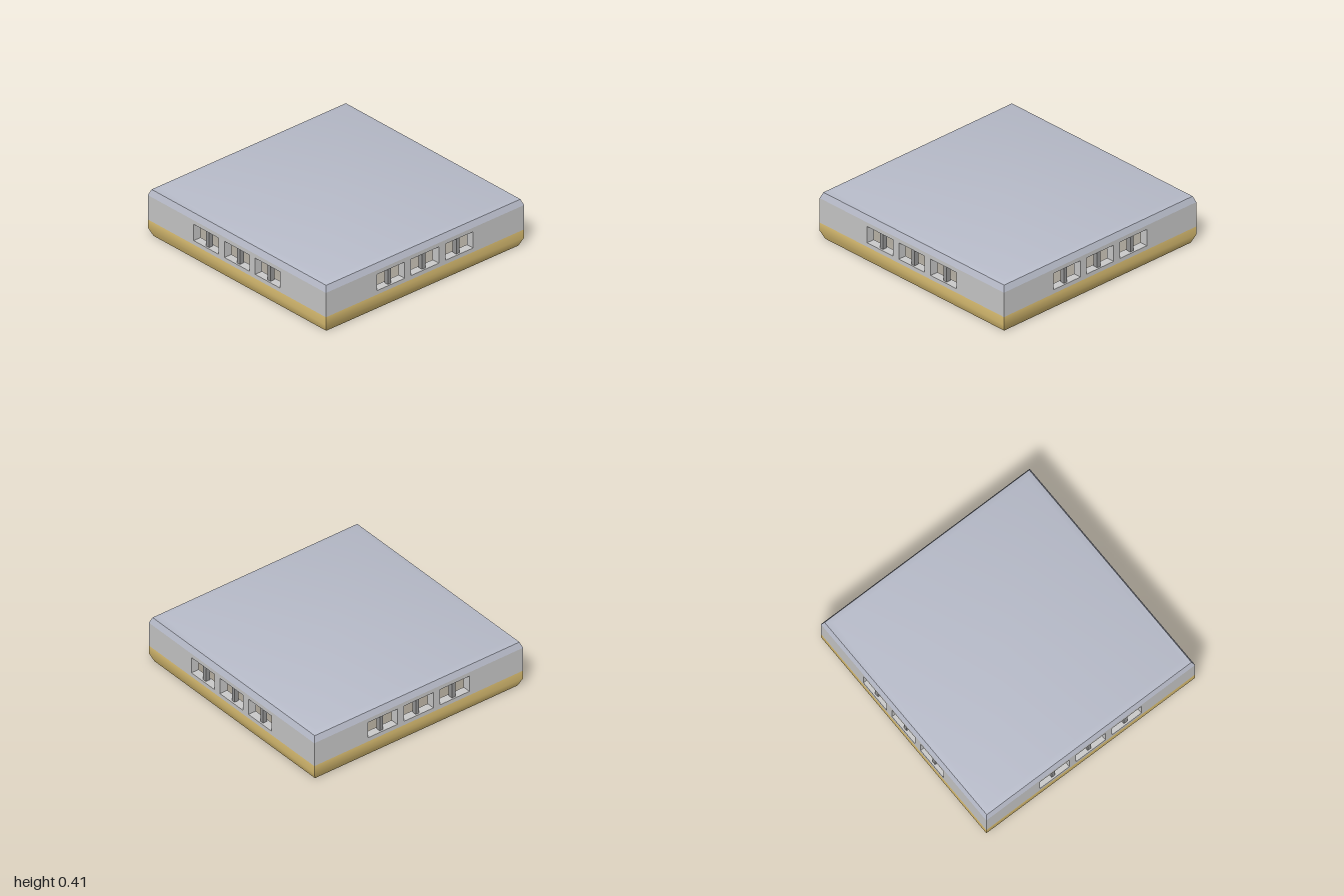
import * as THREE from 'three';
import { toCreasedNormals } from 'three/addons/utils/BufferGeometryUtils.js';

const T = 0.07;          // wall thickness
const SILL = 0.14;       // top of the coloured base
const EAVE = 0.35;       // bottom of the roof
const POST = 0.55;       // post distance from the centre lines

const material = (color) => new THREE.MeshStandardMaterial({ color });

export function createModel() {
  const model = new THREE.Group();
  const grey = material(0xcccccc);
  const slate = material(0xb9bdcb);
  const dark = material(0x999999);
  const sand = material(0xe6c878);

  const add = (parent, name, geometry, mat, x = 0, y = 0, z = 0) => {
    const mesh = new THREE.Mesh(geometry, mat);
    mesh.name = name;
    mesh.position.set(x, y, z);
    parent.add(mesh);
    return mesh;
  };

  // Sweeps a [half width, height] profile around a square plan
  const squareSweep = (profile, crease = 0.85) => {
    const points = profile.map(([r, y]) => new THREE.Vector2(r * Math.SQRT2, y));
    return toCreasedNormals(new THREE.LatheGeometry(points, 4, Math.PI / 4), crease);
  };

  // Base band with its bevelled foot, and the plain lining behind it
  add(model, 'base', squareSweep([[1 - T, 0], [0.97, 0], [1, 0.07], [1, SILL]]), sand);
  add(model, 'baseLining', squareSweep([[1 - T, SILL], [1 - T, 0]]), grey);

  // Roof with bevelled eaves; its underside shows in the middle
  add(model, 'roof', squareSweep([[1, EAVE], [0.98, 0.4], [0.93, 0.415], [0, 0.415]]), slate);
  add(model, 'ceiling', squareSweep([[0, 0.4], [0.54, 0.4]]), slate);
  add(model, 'soffit', squareSweep([[0.54, 0.4], [0.54, 0.34], [0.94, 0.34]]), grey);

  // Wall panel with three window openings
  const wallGeometry = (half) => {
    const shape = new THREE.Shape();
    shape.moveTo(-half, SILL).lineTo(half, SILL).lineTo(half, EAVE).lineTo(-half, EAVE).closePath();
    for (const x of [-0.345, 0, 0.345]) {
      const hole = new THREE.Path();
      hole.moveTo(x - 0.14, 0.175).lineTo(x - 0.14, 0.315);
      hole.lineTo(x + 0.14, 0.315).lineTo(x + 0.14, 0.175).closePath();
      shape.holes.push(hole);
    }
    return new THREE.ExtrudeGeometry(shape, { depth: T, bevelEnabled: false });
  };

  ['front', 'left', 'back', 'right'].forEach((side, i) => {
    const wall = new THREE.Group();
    wall.name = side + 'Wall';
    wall.rotation.y = i * Math.PI / 2;
    add(wall, 'wallPanel', wallGeometry(i % 2 ? 1 - T : 1), grey, 0, 0, 1 - T);
    for (const x of [-0.345, 0, 0.345]) {
      add(wall, 'windowMullion', new THREE.BoxGeometry(0.033, 0.14, 0.04), dark, x, 0.245, 1 - T / 2);
    }
    model.add(wall);
  });

  // Four inner posts with coloured, tapered feet
  for (const x of [-POST, POST]) {
    for (const z of [-POST, POST]) {
      const post = new THREE.Group();
      post.name = 'post';
      post.position.set(x, 0, z);
      add(post, 'postShaft', new THREE.BoxGeometry(0.065, 0.4 - SILL, 0.065), grey, 0, (0.4 + SILL) / 2, 0);
      const foot = squareSweep([[0, 0], [0.022, 0], [0.0325, 0.06], [0.0325, SILL]], 0.4);
      add(post, 'postFoot', foot, sand);
      model.add(post);
    }
  }
  return model;
}
